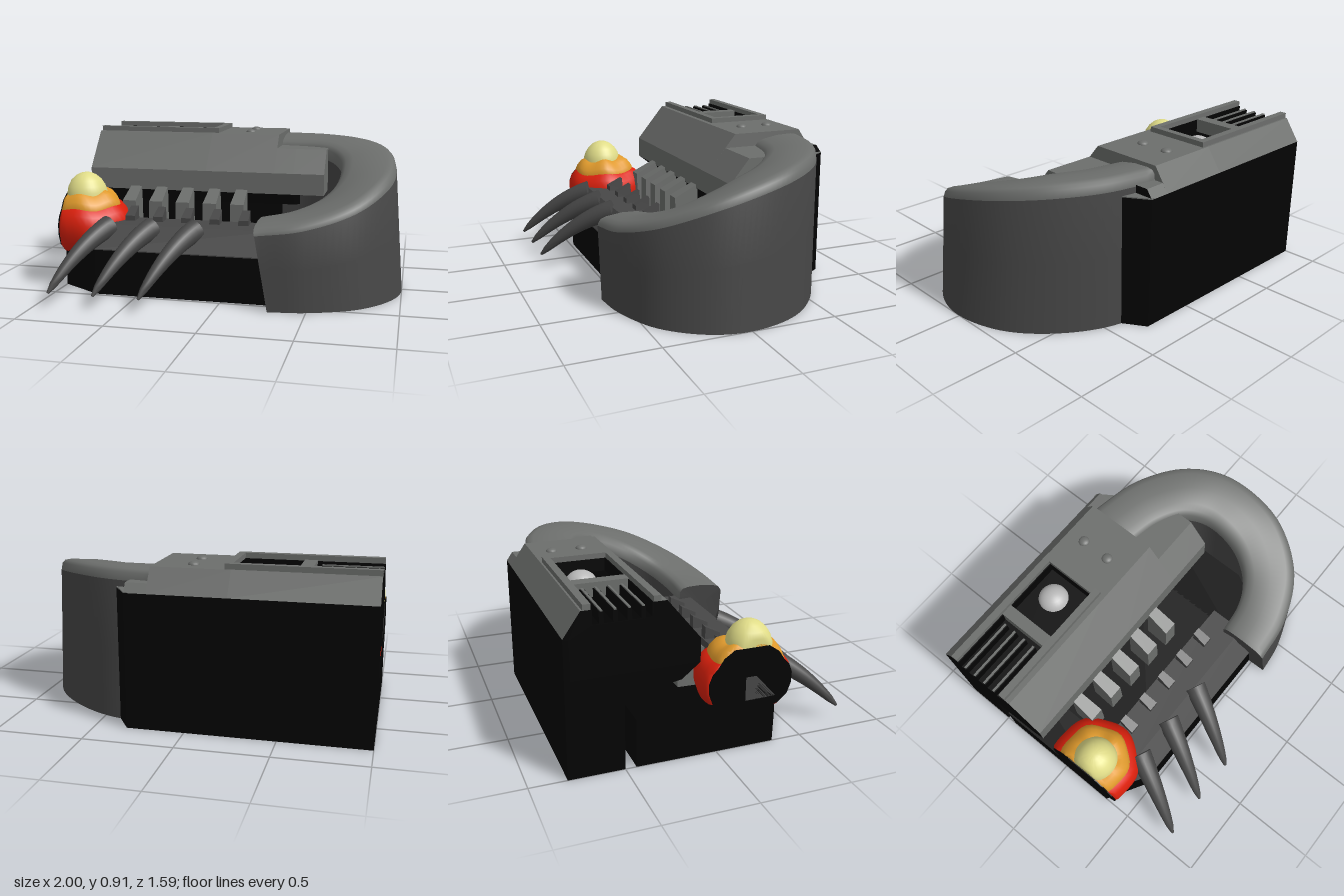
import * as THREE from 'three';
import { toCreasedNormals } from 'three/addons/utils/BufferGeometryUtils.js';

const mat = (name, color) => Object.assign(new THREE.MeshStandardMaterial({ color }), { name });
const V = (p) => new THREE.Vector3(...p);

// Closed solid through rings of equal point count, wound outwards, built strip by strip
function loft(rings, crease = 0.9) {
  const m = rings[0].length, pos = [], tris = [];
  rings.forEach(r => r.forEach(p => pos.push(p.x, p.y, p.z)));
  for (let j = 0; j < m; j++) {
    for (let i = 0; i < rings.length - 1; i++) {
      const a = i * m + j, b = i * m + (j + 1) % m;
      tris.push([a, b, b + m], [a, b + m, a + m]);
    }
  }
  [0, rings.length - 1].forEach((k, end) => {
    const c = rings[k].reduce((s, p) => s.add(p), new THREE.Vector3()).divideScalar(m);
    const id = pos.push(c.x, c.y, c.z) / 3 - 1;
    for (let j = 0; j < m; j++) {
      const a = k * m + j, b = k * m + (j + 1) % m;
      tris.push(end ? [a, b, id] : [b, a, id]);
    }
  });
  const at = i => new THREE.Vector3(pos[3 * i], pos[3 * i + 1], pos[3 * i + 2]);
  const volume = tris.reduce((s, [a, b, c]) => s + at(a).dot(at(b).cross(at(c))), 0);
  if (volume < 0) tris.forEach(t => t.reverse());
  const g = new THREE.BufferGeometry();
  g.setAttribute('position', new THREE.Float32BufferAttribute(pos, 3));
  g.setIndex(tris.flat());
  return toCreasedNormals(g, crease);
}

// Profile of [z, y] points swept from x0 to x1
function sweep(profile, x0, x1) {
  const shape = new THREE.Shape(profile.map(p => new THREE.Vector2(...p)));
  const g = new THREE.ExtrudeGeometry(shape, { depth: x1 - x0, bevelEnabled: false });
  return g.rotateY(-Math.PI / 2).translate(x1, 0, 0);
}

export function createModel() {
  const root = new THREE.Group();
  root.name = 'frontEnd';
  const grey = mat('grey metal', 0x6c6e6c), dark = mat('dark grey metal', 0x474747);
  const black = mat('black', 0x030303), red = mat('red', 0xdc200c);
  const orange = mat('orange', 0xe09a2c), yellow = mat('pale yellow', 0xe0dc88);
  const pale = mat('light grey bulb', 0xb8b8b8);

  const add = (name, geometry, material) => {
    const mesh = new THREE.Mesh(geometry, material);
    mesh.name = name;
    root.add(mesh);
    return mesh;
  };
  const box = (name, material, x0, x1, y0, y1, z0, z1) => add(name,
    new THREE.BoxGeometry(x1 - x0, y1 - y0, z1 - z0)
      .translate((x0 + x1) / 2, (y0 + y1) / 2, (z0 + z1) / 2), material);

  // Rear body with overhanging underside and cut corner
  add('rearBody', sweep([[-0.8, 0], [-0.5, 0], [-0.5, 0.4], [-0.2, 0.45], [-0.1, 0.53],
    [-0.77, 0.53], [-0.77, 0.74], [-0.8, 0.75]], -1, 0.32), black);
  const corner = new THREE.Shape([[0.3, 0.8], [0.32, 0.8], [0.45, 0.6], [0.3, 0.6]].map(p => new THREE.Vector2(...p)));
  const cornerPart = (name, depth, y, material) => add(name,
    new THREE.ExtrudeGeometry(corner, { depth, bevelEnabled: false }).rotateX(-Math.PI / 2).translate(0, y, 0), material);
  cornerPart('rearCorner', 0.75, 0, black);
  cornerPart('rearCornerTop', 0.006, 0.75, grey);

  // Upper cover: grooved part, plain part and lowered part under the bumper
  const under = [[-0.1, 0.53], [-0.77, 0.53], [-0.77, 0.74], [-0.8, 0.75], [-0.71, 0.88]];
  const slope = [[-0.28, 0.88], [-0.1, 0.66]];
  const groove = [[-0.66, 0.88], [-0.66, 0.8], [-0.35, 0.8], [-0.35, 0.88]];
  add('groovedCover', sweep([...under, ...groove, ...slope], -1, -0.235), [black, grey]);
  add('cover', sweep([...under, ...slope], -0.235, 0.2), grey);
  const low = [[-0.215, 0.8], [-0.1, 0.66]];
  add('lowCover', sweep([...under.slice(0, 4), [-0.765, 0.8], ...low], 0.2, 0.32), [black, grey]);
  add('coverEnd', sweep([[-0.1, 0.53], [-0.6, 0.53], [-0.6, 0.8], ...low], 0.32, 0.51), grey);

  // Recessed panel: black lining, raised frame, rails and bulb
  box('panelFloor', black, -1, -0.235, 0.8, 0.806, -0.66, -0.35);
  box('panelBackLining', black, -1, -0.235, 0.8, 0.88, -0.66, -0.654);
  box('panelFrontLining', black, -1, -0.235, 0.8, 0.88, -0.356, -0.35);
  box('panelEndLining', black, -0.241, -0.235, 0.8, 0.88, -0.66, -0.35);
  box('frameBack', grey, -1, -0.2, 0.87, 0.91, -0.7, -0.66);
  box('frameFront', grey, -1, -0.2, 0.87, 0.91, -0.35, -0.31);
  box('frameEnd', grey, -0.24, -0.2, 0.87, 0.91, -0.66, -0.35);
  box('panelDivider', grey, -0.64, -0.57, 0.8, 0.885, -0.66, -0.35);
  for (let i = 0; i < 4; i++) {
    const z = -0.61 + i * 0.07;
    box('railWeb', black, -1, -0.67, 0.8, 0.865, z - 0.012, z + 0.012);
    box('railTop', grey, -1, -0.67, 0.865, 0.872, z - 0.006, z + 0.006);
  }
  add('bulb', new THREE.SphereGeometry(0.09, 24, 16).scale(1, 0.9, 1).translate(-0.37, 0.785, -0.53), pale);
  [-0.6, -0.425].forEach(z => add('rivet',
    new THREE.SphereGeometry(0.032, 16, 6, 0, Math.PI * 2, 0, Math.PI / 2).scale(1, 0.6, 1)
      .translate(-0.01, 0.879, z), grey));

  // Mouth floor and front shelf, with the outer front corner cut off
  const chamfered = (name, profile, material) => add(name, loft([[-1, 0.15], [-0.75, 0], [0.288, 0]].map(([x, cut]) =>
    profile.map(([z, y]) => V([x, y, z > 0.2 ? z - cut : z]))), 0.2), material);
  chamfered('mouthFloor', [[-0.44, 0], [0.48, 0], [0.48, 0.268], [-0.44, 0.268]], black);
  chamfered('shelf', [[0.482, 0.266], [0.482, 0.272], [0.37, 0.4], [0.16, 0.4], [0.16, 0.266]], dark);
  box('innerFloor', black, 0.28, 0.63, 0.03, 0.268, -0.5, 0.3);

  // Teeth: tall slanted row behind, small row on the shelf
  const tooth = (name, x, y0, y1, yFront, z0, z1, w0, w1, material) => {
    const ring = (s, top) => [[-w0, z0], [w0, z0], [w1, z1], [-w1, z1]]
      .map(([dx, z]) => V([x + dx * s, top ? (z === z0 ? y1 : yFront) : y0, z]));
    add(name, loft([ring(1, false), ring(0.92, true)], 0.3), material);
  };
  for (let i = 0; i < 5; i++) {
    tooth('upperTooth', -0.695 + i * 0.173, 0.26, 0.555, 0.48, -0.11, 0.04, 0.038, 0.046, grey);
    tooth('lowerTooth', -0.61 + i * 0.174, 0.39, 0.475, 0.43, 0.17, 0.26, 0.026, 0.032, dark);
  }

  // Curved claws
  for (let k = 0; k < 3; k++) {
    const path = new THREE.QuadraticBezierCurve3(V([-0.7, 0.385, 0.37]), V([-0.8, 0.32, 0.58]), V([-0.908, 0.085, 0.785]));
    const rings = [];
    for (let i = 0; i <= 12; i++) {
      const t = i / 12, c = path.getPoint(t), d = path.getTangent(t);
      const u = new THREE.Vector3(0, 1, 0).cross(d).normalize(), w = d.clone().cross(u);
      const r = 0.008 + 0.058 * Math.pow(1 - t, 0.6);
      rings.push(Array.from({ length: 16 }, (_, j) => c.clone()
        .addScaledVector(u, r * Math.cos(j * Math.PI / 8)).addScaledVector(w, r * Math.sin(j * Math.PI / 8))));
    }
    add('claw', loft(rings), dark).position.x = k * 0.263;
  }

  // Lumpy three-coloured mound, cut flat on the right
  const mound = (name, zc, wave, profile, material) => {
    const rings = profile.map(([y, r]) => Array.from({ length: 40 }, (_, j) => {
      const a = j * Math.PI / 20, rr = r * (1 + wave * Math.sin(6 * a + 1));
      return V([Math.max(-0.995, -0.9 + rr * Math.cos(a)), y + wave * 0.4 * Math.sin(5 * a), zc + rr * Math.sin(a)]);
    }));
    add(name, loft(rings, 1.2), material);
  };
  const base = [[0.2, 0.12], [0.225, 0.19], [0.27, 0.235], [0.33, 0.255], [0.39, 0.257], [0.44, 0.24], [0.475, 0.21], [0.495, 0.175]];
  mound('moundBase', 0.19, 0.02, base, red);
  mound('moundMiddle', 0.2, 0.025, [[0.43, 0.195], [0.48, 0.2], [0.51, 0.188], [0.545, 0.16], [0.565, 0.12], [0.57, 0.08]], orange);
  mound('moundTop', 0.215, 0, [[0.53, 0.125], [0.565, 0.123], [0.6, 0.112], [0.635, 0.09], [0.662, 0.06], [0.676, 0.03], [0.68, 0.002]], yellow);
  const cut = [...base.slice(0, 7), [0.52, 0.185], [0.56, 0.14]].map(([y, r]) => [Math.sqrt(r * r - 0.01), y]);
  add('moundCut', sweep([...cut.map(([h, y]) => [0.19 + h, y]),
    ...cut.reverse().map(([h, y]) => [0.19 - h, y])], -1, -0.994), black);

  // Wraparound bumper: outer foot, outer rim and inner rim curves
  const curve = pts => new THREE.CatmullRomCurve3(pts.map(V));
  const foot = curve([[0.29, 0, 0.595], [0.5, 0, 0.565], [0.78, 0, 0.44], [0.955, 0, 0.22], [1, 0, 0],
    [0.925, 0, -0.28], [0.75, 0, -0.49], [0.49, 0, -0.65], [0.2, 0, -0.71]]);
  const rim = curve([[0.21, 0.45, 0.585], [0.47, 0.485, 0.555], [0.74, 0.57, 0.425], [0.905, 0.68, 0.19], [0.94, 0.755, -0.05],
    [0.895, 0.81, -0.28], [0.755, 0.84, -0.48], [0.5, 0.85, -0.64], [0.2, 0.85, -0.71]]);
  const inner = curve([[0.21, 0.47, 0.29], [0.38, 0.51, 0.27], [0.52, 0.57, 0.2], [0.6, 0.65, 0.08], [0.62, 0.72, -0.05],
    [0.6, 0.77, -0.18], [0.52, 0.81, -0.29], [0.38, 0.82, -0.37], [0.2, 0.82, -0.41]]);
  const sections = [], steps = 56;
  for (let i = 0; i <= steps; i++) {
    const t = i / steps, f = foot.getPoint(t), o = rim.getPoint(t), n = inner.getPoint(t);
    const across = (s, dy) => o.clone().lerp(n, s).add(V([0, dy, 0]));
    const innerFoot = n.clone().setY(0).lerp(f, 0.2);
    if (t < 0.25) innerFoot.x = Math.max(innerFoot.x, 0.285);
    sections.push([f, f.clone().lerp(o, 0.5), f.clone().lerp(o, 0.93), across(0.02, -0.015), across(0.07, 0.004),
      across(0.18, 0.014), across(0.5, 0.02), across(0.8, 0.012), across(0.93, 0), across(1, -0.025),
      n.clone().setY(n.y - 0.09), innerFoot]);
  }
  // Dark walls with a grey rolled top
  const bumper = loft(sections, 1.1), strip = 6 * steps;
  bumper.addGroup(0, 2 * strip, 0);
  bumper.addGroup(2 * strip, 8 * strip, 1);
  bumper.addGroup(10 * strip, bumper.attributes.position.count - 10 * strip, 0);
  add('bumper', bumper, [dark, grey]);

  return root;
}
